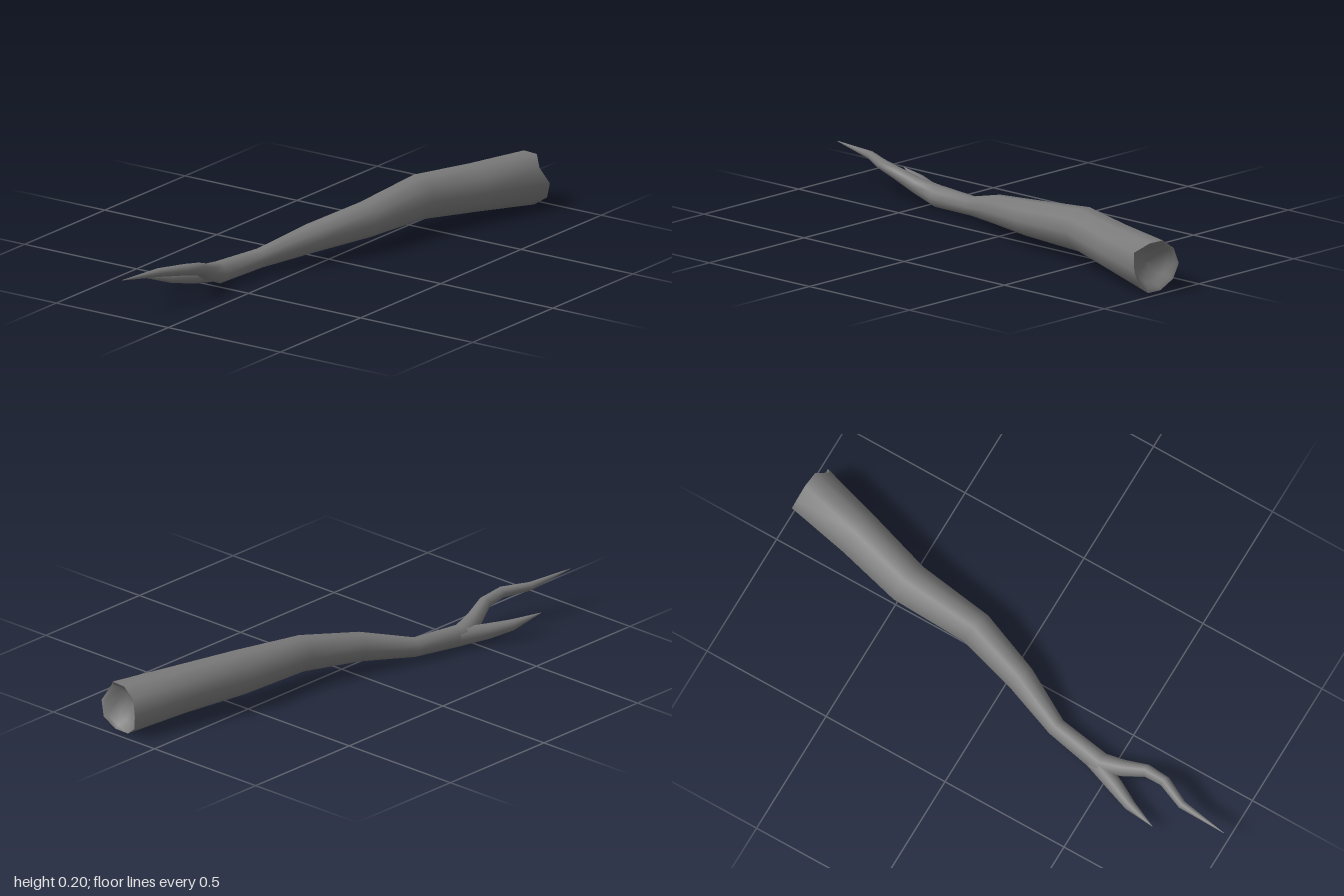
import * as THREE from 'three';

const SIDES = 10;
const UP = new THREE.Vector3(0, 1, 0);

// Ring of points around a centre, square to direction t; jag shifts each point along t
function ring(c, t, r, jag) {
  const side = new THREE.Vector3().crossVectors(t, UP).normalize();
  const up = new THREE.Vector3().crossVectors(side, t);
  return Array.from({ length: SIDES }, (_, j) => {
    const a = (j / SIDES) * Math.PI * 2;
    return c.clone()
      .addScaledVector(side, Math.cos(a) * r)
      .addScaledVector(up, Math.sin(a) * r)
      .addScaledVector(t, jag ? jag[j] : 0);
  });
}

// Smooth skin over consecutive rings
function skin(name, rings, material) {
  const pos = rings.flat().flatMap(p => [p.x, p.y, p.z]);
  const index = [];
  for (let i = 0; i < rings.length - 1; i++) {
    for (let j = 0; j < SIDES; j++) {
      const a = i * SIDES + j, b = i * SIDES + (j + 1) % SIDES;
      const d = a + SIDES, c = b + SIDES;
      index.push(a, d, c, a, c, b);
    }
  }
  const geo = new THREE.BufferGeometry();
  geo.setAttribute('position', new THREE.Float32BufferAttribute(pos, 3));
  geo.setIndex(index);
  geo.computeVertexNormals();
  const mesh = new THREE.Mesh(geo, material);
  mesh.name = name;
  return mesh;
}

// Rings along a path of [x, y, z, radius], running from tip to butt
function pathRings(path, jag) {
  const pts = path.map(p => new THREE.Vector3(p[0], p[1], p[2]));
  const last = pts.length - 1;
  return pts.map((p, i) => {
    const t = pts[Math.min(i + 1, last)].clone().sub(pts[Math.max(i - 1, 0)]).normalize();
    return ring(p, t, path[i][3], i === last ? jag : null);
  });
}

export function createModel() {
  const group = new THREE.Group();
  group.name = 'fallenBranch';
  const wood = new THREE.MeshStandardMaterial({ color: 0x7a7a7a, side: THREE.DoubleSide });

  // Main limb: long twig running into the thick trunk
  const limb = [
    [-1.0, 0.144, -0.205, 0.001],
    [-0.81, 0.128, -0.182, 0.016],
    [-0.71, 0.122, -0.134, 0.021],
    [-0.63, 0.105, -0.126, 0.024],
    [-0.55, 0.07, -0.147, 0.031],
    [-0.46, 0.041, -0.165, 0.041],
    [-0.25, 0.048, -0.128, 0.036],
    [-0.05, 0.088, -0.042, 0.054],
    [0.18, 0.112, 0.033, 0.067],
    [0.48, 0.125, 0.057, 0.083],
    [0.72, 0.112, 0.13, 0.089],
    [0.965, 0.098, 0.197, 0.1],
  ];
  const jag = [0.022, -0.014, 0.012, 0.002, -0.004, 0.004, -0.002, -0.004, 0.01, 0.028];
  const limbRings = pathRings(limb, jag);
  group.add(skin('mainLimb', limbRings, wood));

  // Broken butt: rim turning into a shallow bowl
  const end = new THREE.Vector3(0.965, 0.098, 0.197);
  const t = new THREE.Vector3(0.245, -0.014, 0.067).normalize();
  const bowl = [[0.086, -0.008], [0.07, -0.03], [0.04, -0.05], [0.0005, -0.056]].map(([r, depth]) =>
    ring(end.clone().addScaledVector(t, depth), t, r, r > 0.08 ? jag : null));
  group.add(skin('hollowEnd', [limbRings[limbRings.length - 1], ...bowl], wood));

  // Short side twig at the fork
  group.add(skin('sideTwig', pathRings([
    [-0.75, 0.074, -0.292, 0.001],
    [-0.635, 0.052, -0.256, 0.021],
    [-0.55, 0.042, -0.215, 0.029],
    [-0.46, 0.04, -0.176, 0.034],
    [-0.38, 0.043, -0.155, 0.028],
  ]), wood));

  return group;
}
